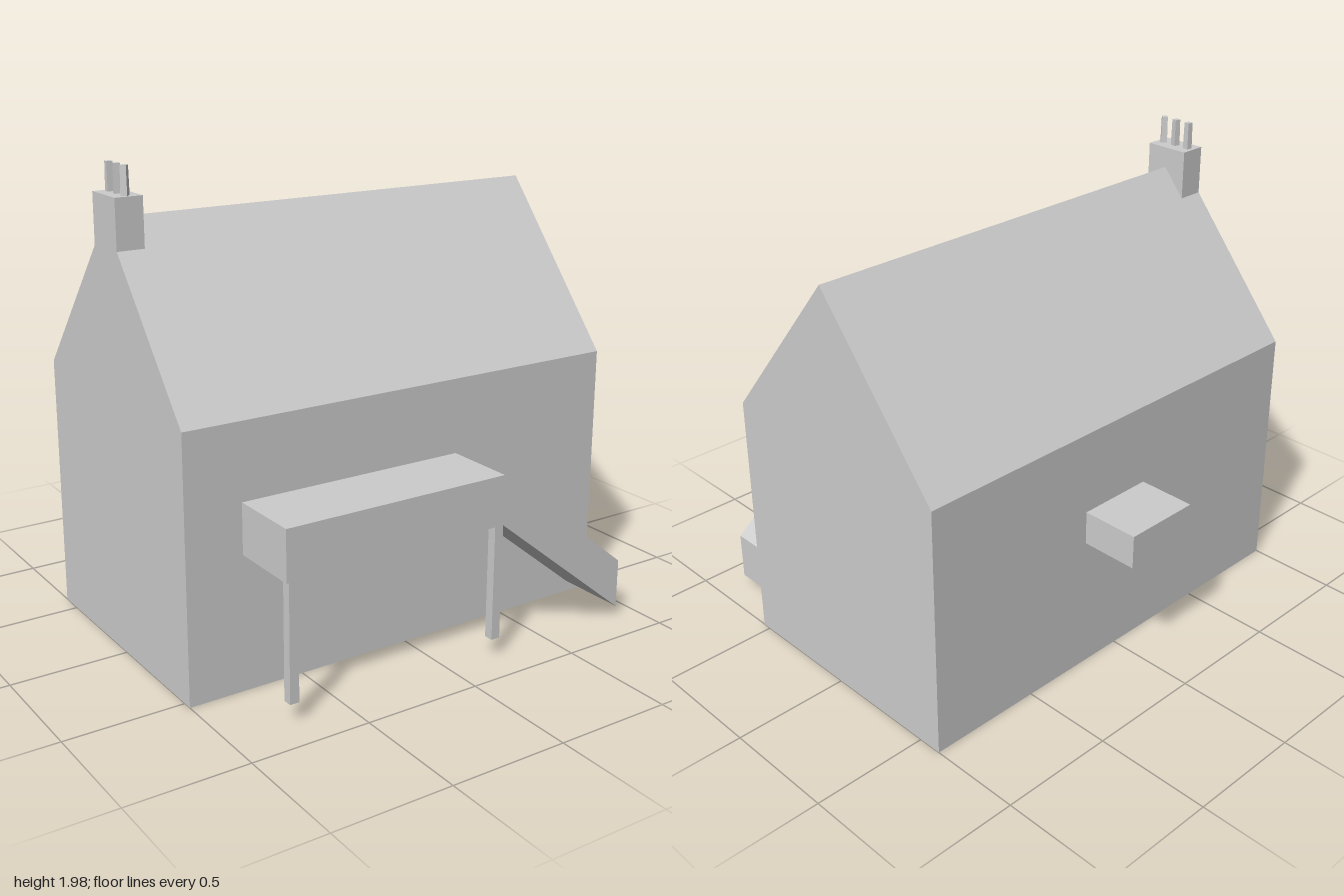
import * as THREE from 'three';

export function createModel() {
  const model = new THREE.Group();
  const grey = new THREE.MeshStandardMaterial({ color: 0xcccccc, side: THREE.DoubleSide });
  grey.name = 'plain grey';

  const add = (name, geometry) => {
    const mesh = new THREE.Mesh(geometry, grey);
    mesh.name = name;
    model.add(mesh);
    return mesh;
  };
  // Box given by its limits on each axis
  const box = (name, [x0, x1], [y0, y1], [z0, z1]) =>
    add(name, new THREE.BoxGeometry(x1 - x0, y1 - y0, z1 - z0))
      .position.set((x0 + x1) / 2, (y0 + y1) / 2, (z0 + z1) / 2);

  // House shell, open underneath: section as [z, y] from front base to back base
  const section = [[0.54, 0], [0.54, 1.09], [-0.03, 1.775], [-0.605, 1.09], [-0.605, 0]];
  const names = ['frontWall', 'frontRoof', 'backRoof', 'backWall'];
  names.forEach((name, i) => {
    const [[z0, y0], [z1, y1]] = [section[i], section[i + 1]];
    const geometry = new THREE.BufferGeometry();
    geometry.setAttribute('position', new THREE.Float32BufferAttribute(
      [-1, y0, z0, 1, y0, z0, 1, y1, z1, -1, y1, z1], 3));
    geometry.setIndex([0, 1, 2, 0, 2, 3]);
    geometry.computeVertexNormals();
    add(name, geometry);
  });

  // Gable ends, each facing outwards
  for (const side of [1, -1]) {
    const shape = new THREE.Shape(section.map(([z, y]) => new THREE.Vector2(-side * z, y)));
    const gable = add(side > 0 ? 'leftGable' : 'rightGable', new THREE.ShapeGeometry(shape));
    gable.rotation.y = side * Math.PI / 2;
    gable.position.x = side;
  }

  // Chimney stack with three four-sided pots, each turned a little differently
  box('chimney', [-1, -0.885], [1.655, 1.862], [-0.13, 0.065]);
  [[0.035, 0], [-0.03, 0.55], [-0.098, 0.7]].forEach(([z, turn]) => {
    const pot = add('chimneyPot', new THREE.CylinderGeometry(0.017, 0.019, 0.115, 4).toNonIndexed());
    pot.geometry.computeVertexNormals();
    pot.position.set(-0.943, 1.918, z);
    pot.rotation.y = turn;
  });

  // Box projecting from the back wall
  box('backBay', [-0.145, 0.195], [0.59, 0.735], [-0.855, -0.605]);

  // Raised covered walk and its sloping end
  const walk = (name, points) => {
    const shape = new THREE.Shape(points.map(([x, y]) => new THREE.Vector2(x, y)));
    const geometry = new THREE.ExtrudeGeometry(shape, { depth: 0.31, bevelEnabled: false });
    add(name, geometry.translate(0, 0, 0.542));
  };
  walk('landing', [[-0.76, 0.565], [0.24, 0.565], [0.24, 0.775], [-0.76, 0.775]]);
  walk('ramp', [[0.24, 0.565], [0.885, 0.05], [0.885, 0.26], [0.24, 0.775]]);
  for (const x of [-0.75, 0.2]) box('landingPost', [x, x + 0.04], [0.08, 0.565], [0.812, 0.852]);

  return model;
}
